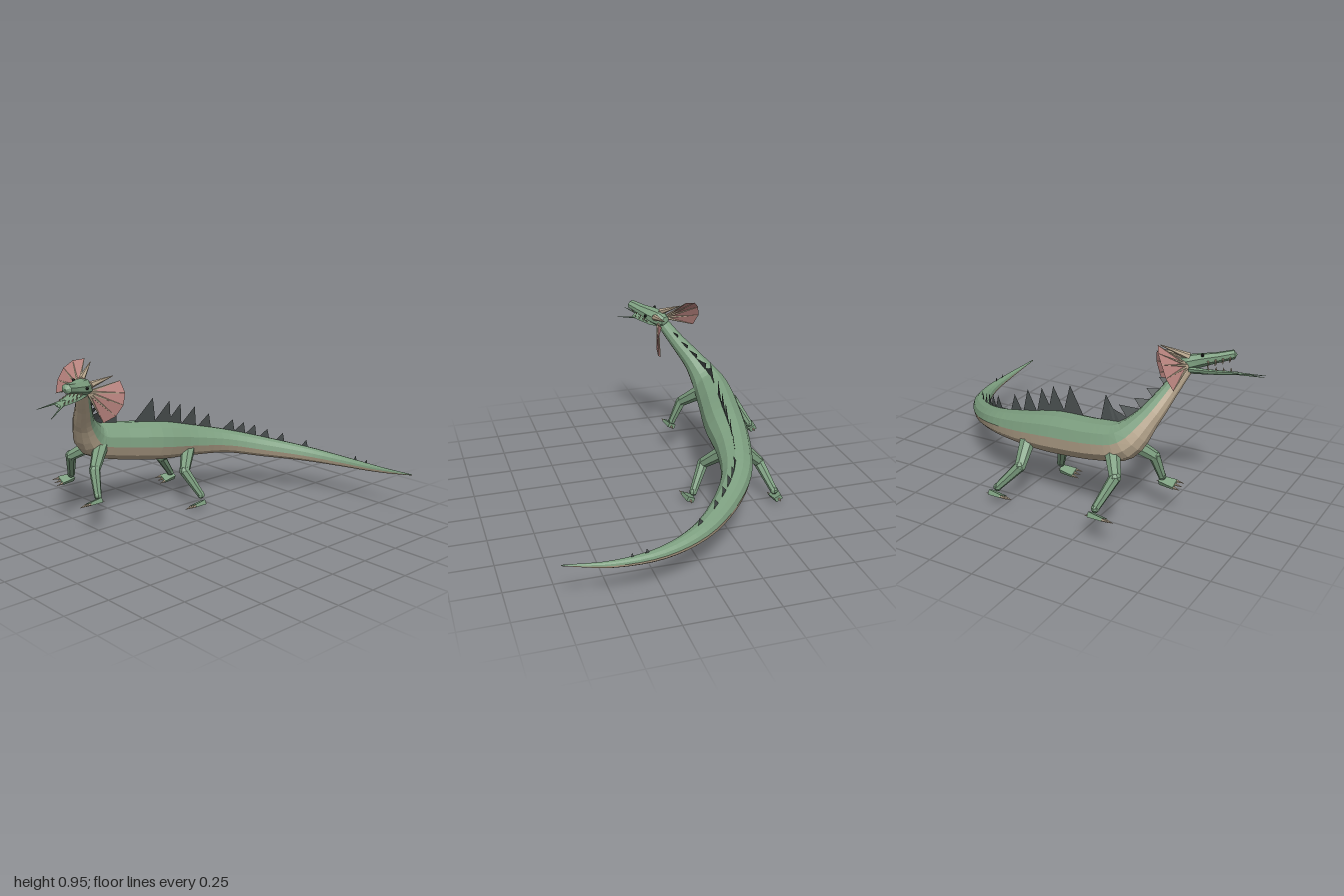
import * as THREE from 'three';

const V = (x, y, z) => new THREE.Vector3(x, y, z);
const mat = (name, color) =>
  new THREE.MeshStandardMaterial({ name, color, flatShading: true, side: THREE.DoubleSide });

// Skin stretched over elliptical rings, covering the arc a0..a1 of each ring
function loft(rings, n, a0 = 0, a1 = Math.PI * 2) {
  const pos = [], index = [];
  rings.forEach(({ c, side, up, rx, ry }, i) => {
    for (let j = 0; j <= n; j++) {
      const a = a0 + (a1 - a0) * j / n;
      const p = c.clone().addScaledVector(side, Math.cos(a) * rx).addScaledVector(up, Math.sin(a) * ry);
      pos.push(p.x, p.y, p.z);
      if (i && j < n) {
        const q = i * (n + 1) + j, o = q - n - 1;
        index.push(o, o + 1, q + 1, o, q + 1, q);
      }
    }
  });
  const g = new THREE.BufferGeometry();
  g.setAttribute('position', new THREE.Float32BufferAttribute(pos, 3));
  g.setIndex(index);
  g.computeVertexNormals();
  return g;
}

// Flat sheet fanning out from its first point
function fan(points) {
  const g = new THREE.BufferGeometry().setFromPoints(points);
  g.setIndex(points.slice(2).flatMap((_, i) => [0, i + 1, i + 2]));
  g.computeVertexNormals();
  return g;
}

function add(parent, name, geometry, material) {
  const m = new THREE.Mesh(geometry, material);
  m.name = name;
  parent.add(m);
  return m;
}

// Tapered rod from a to b
function rod(parent, name, a, b, ra, rb, material, sides = 7) {
  const d = b.clone().sub(a);
  const m = add(parent, name, new THREE.CylinderGeometry(rb, ra, d.length(), sides), material);
  m.position.copy(a).addScaledVector(d, 0.5);
  m.quaternion.setFromUnitVectors(V(0, 1, 0), d.normalize());
  return m;
}

// Spine stations from tail tip to head: x, y, z, half width, half height
const SPINE = [
  [0.745, 0.245, -0.965, 0.003, 0.003], [0.5, 0.217, -0.98, 0.017, 0.018],
  [0.25, 0.215, -0.95, 0.034, 0.031], [0.03, 0.235, -0.855, 0.05, 0.045],
  [-0.155, 0.27, -0.69, 0.066, 0.06], [-0.29, 0.315, -0.5, 0.08, 0.07],
  [-0.36, 0.35, -0.28, 0.096, 0.092], [-0.4, 0.39, -0.02, 0.116, 0.115],
  [-0.445, 0.43, 0.25, 0.11, 0.108], [-0.45, 0.465, 0.38, 0.1, 0.1],
  [-0.39, 0.58, 0.475, 0.065, 0.063], [-0.3, 0.7, 0.54, 0.045, 0.045],
  [-0.215, 0.82, 0.6, 0.034, 0.034],
];

function spineRings(perSpan) {
  const path = new THREE.CatmullRomCurve3(SPINE.map(s => V(s[0], s[1], s[2])));
  const size = new THREE.CatmullRomCurve3(SPINE.map(s => V(s[3], s[4], 0)));
  const count = (SPINE.length - 1) * perSpan, rings = [];
  let up = V(0, 1, 0);
  for (let i = 0; i <= count; i++) {
    const t = path.getTangent(i / count), r = size.getPoint(i / count);
    up = up.clone().addScaledVector(t, -up.dot(t)).normalize();
    rings.push({ c: path.getPoint(i / count), t, up, side: up.clone().cross(t), rx: r.x, ry: r.y });
  }
  return rings;
}

export function createModel() {
  const green = mat('green scales', 0x7d9f80);
  const beige = mat('beige belly', 0xb9a88f);
  const dark = mat('dark spikes', 0x4a5050);
  const pink = mat('pink frill', 0xbb8580);
  const black = mat('eye black', 0x1c1f1c);
  const model = new THREE.Group();
  model.name = 'frilledLizard';

  // Body, tail and neck: green back, beige underside
  const rings = spineRings(20);
  const skin = rings.filter((_, i) => i % 5 === 0);
  add(model, 'back', loft(skin, 6, 0, Math.PI), green);
  add(model, 'belly', loft(skin, 6, Math.PI, Math.PI * 2), beige);

  // Back spikes: spine position, height, base length
  const spikes = [
    [1.33, 0.022, 0.025], [1.65, 0.025, 0.03], [3, 0.04, 0.05], [3.6, 0.05, 0.06],
    [4, 0.055, 0.07], [4.33, 0.065, 0.075], [4.65, 0.065, 0.08], [4.95, 0.07, 0.09],
    [5.65, 0.085, 0.1], [6.1, 0.115, 0.11], [6.5, 0.12, 0.11], [6.8, 0.13, 0.12],
    [7.2, 0.145, 0.14], [8.2, 0.13, 0.12], [9.1, 0.09, 0.08], [9.7, 0.08, 0.08],
    [10.2, 0.06, 0.07], [10.7, 0.05, 0.06], [11.2, 0.04, 0.05],
  ];
  for (const [k, h, len] of spikes) {
    const { c, t, up, ry } = rings[Math.round(k * 20)];
    const at = (along, high) => c.clone().addScaledVector(t, along).addScaledVector(up, ry + high);
    add(model, 'backSpike', fan([at(len * 0.7, -0.012), at(0, h), at(-len * 0.35, -0.012)]), dark);
  }

  // Legs: hip, knee, ankle, foot centre
  const legs = {
    frontRightLeg: [[-0.48, 0.43, 0.32], [-0.615, 0.335, 0.415], [-0.705, 0.19, 0.355], [-0.725, 0.16, 0.375]],
    frontLeftLeg: [[-0.39, 0.43, 0.37], [-0.305, 0.335, 0.475], [-0.255, 0.205, 0.495], [-0.25, 0.175, 0.525]],
    hindRightLeg: [[-0.42, 0.33, -0.22], [-0.545, 0.215, -0.195], [-0.595, 0.085, -0.31], [-0.61, 0.05, -0.305]],
    hindLeftLeg: [[-0.33, 0.33, -0.23], [-0.24, 0.215, -0.12], [-0.165, 0.075, -0.18], [-0.15, 0.03, -0.145]],
  };
  for (const [name, joints] of Object.entries(legs)) {
    const leg = new THREE.Group();
    leg.name = name;
    model.add(leg);
    const [hip, knee, ankle, sole] = joints.map(j => V(...j));
    rod(leg, 'upperLeg', hip, knee, 0.044, 0.03, green);
    rod(leg, 'lowerLeg', knee, ankle, 0.031, 0.021, green);
    add(leg, 'knee', new THREE.SphereGeometry(0.031, 7, 5), green).position.copy(knee);
    add(leg, 'ankle', new THREE.SphereGeometry(0.023, 7, 5), green).position.copy(ankle);

    // Foot wider at the toes, rolled to follow the splay of the leg
    const foot = new THREE.Group();
    foot.name = 'foot';
    foot.position.copy(sole);
    foot.rotation.z = name.includes('Left') ? 0.4 : -0.5;
    leg.add(foot);
    const pad = new THREE.BoxGeometry(0.06, 0.028, 0.085), p = pad.attributes.position;
    for (let i = 0; i < p.count; i++) {
      if (p.getZ(i) < 0) p.setX(i, p.getX(i) * 0.7);
      else if (p.getY(i) > 0) p.setY(i, 0.002);
    }
    add(foot, 'footPad', pad, green);
    for (const x of [-0.022, 0, 0.022]) {
      rod(foot, 'claw', V(x, -0.005, 0.035), V(x * 1.2, -0.012, 0.08), 0.009, 0.001, beige, 5);
    }
    rod(foot, 'heelClaw', V(0, -0.003, -0.035), V(0, -0.01, -0.065), 0.009, 0.001, beige, 5);
  }

  // Head: turned to its left, tilted sideways
  const head = new THREE.Group();
  head.name = 'head';
  const f = V(0.5, 0.1, 0.85).normalize(), left = V(0.8, -0.46, -0.43);
  left.addScaledVector(f, -left.dot(f)).normalize();
  head.quaternion.setFromRotationMatrix(new THREE.Matrix4().makeBasis(left, f.clone().cross(left), f));
  head.position.set(-0.215, 0.82, 0.6);
  model.add(head);

  const jaw = list => loft(list.map(([z, y, rx, ry]) =>
    ({ c: V(0, y, z), side: V(1, 0, 0), up: V(0, 1, 0), rx, ry })), 8);
  add(head, 'upperJaw', jaw([
    [-0.05, 0.01, 0.001, 0.001], [-0.04, 0.01, 0.03, 0.03], [0, 0.018, 0.05, 0.042], [0.06, 0.023, 0.05, 0.036],
    [0.15, 0.028, 0.036, 0.027], [0.235, 0.036, 0.029, 0.024], [0.25, 0.034, 0.001, 0.001],
  ]), green);
  add(head, 'lowerJaw', jaw([
    [-0.02, -0.012, 0.001, 0.001], [0, -0.018, 0.036, 0.018], [0.08, -0.035, 0.036, 0.014],
    [0.17, -0.05, 0.027, 0.011], [0.245, -0.06, 0.018, 0.008], [0.25, -0.06, 0.001, 0.001],
  ]), green);

  const rim = [[0.155, -0.128, -0.09], [0.19, -0.07, -0.12], [0.195, 0, -0.135],
    [0.17, 0.06, -0.145], [0.115, 0.105, -0.14]];
  for (const s of [-1, 1]) {
    // Frill sheet with its ribs
    const root = V(s * 0.03, 0, 0), edge = rim.map(([x, y, z]) => V(s * x, y, z));
    add(head, 'frill', fan([root, ...edge]), pink);
    for (const e of edge) rod(head, 'frillRib', root, e, 0.009, 0.001, beige, 5);

    // Horn, eye, forked tongue and teeth
    rod(head, 'horn', V(s * 0.028, 0.045, 0.01), V(s * 0.072, 0.11, -0.125), 0.019, 0.002, beige, 6);
    add(head, 'eye', new THREE.SphereGeometry(0.009, 6, 5), black).position.set(s * 0.043, 0.042, 0.075);
    rod(head, 'tongueFork', V(s * 0.006, -0.045, 0.17), V(s * 0.045, -0.09, 0.375), 0.008, 0.001, green, 5);
    for (let i = 0; i < 4; i++) {
      const z = 0.1 + i * 0.037, x = s * (0.037 - i * 0.005);
      rod(head, 'upperTooth', V(x, 0.012 + i * 0.003, z), V(x, -0.015 + i * 0.004, z), 0.005, 0.001, beige, 4);
      rod(head, 'lowerTooth', V(x * 0.7, -0.036 - i * 0.006, z), V(x * 0.7, -0.016 - i * 0.005, z), 0.004, 0.001, beige, 4);
    }
  }
  return model;
}
